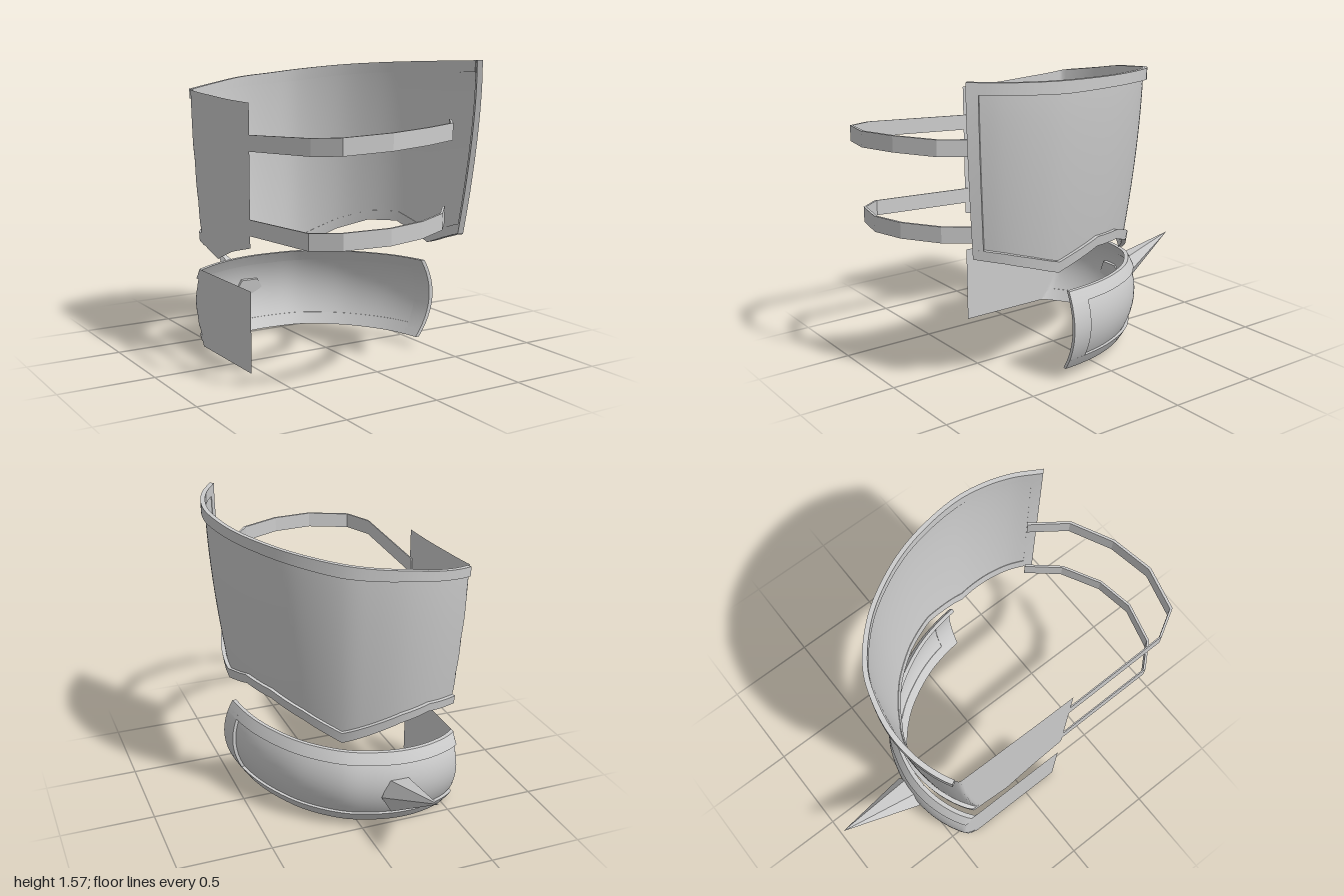
import * as THREE from 'three';
import { mergeGeometries } from 'three/addons/utils/BufferGeometryUtils.js';

const steel = new THREE.MeshStandardMaterial({ color: 0xcccccc, side: THREE.DoubleSide });
steel.name = 'steel grey';

const CX = -0.18, CZ = 0.2, WALL = -0.56; // centre of the curve, flat inner wall
const lerp = THREE.MathUtils.lerp, clamp = THREE.MathUtils.clamp;

// Outline of the guard from the flat wall round to the front edge: x, z, top y, bottom y
const outline = [
  [-0.88, 0.2, 1.37, 0.65], [-0.87, -0.03, 1.375, 0.6], [-0.79, -0.24, 1.385, 0.53],
  [-0.67, -0.42, 1.395, 0.575], [-0.55, -0.52, 1.405, 0.61], [-0.38, -0.59, 1.43, 0.635],
  [-0.2, -0.61, 1.46, 0.605], [-0.02, -0.58, 1.48, 0.545], [0.13, -0.52, 1.5, 0.495],
  [0.31, -0.36, 1.525, 0.6], [0.43, -0.17, 1.54, 0.665], [0.51, 0.04, 1.55, 0.68],
  [0.55, 0.33, 1.56, 0.6], [0.53, 0.5, 1.565, 0.65], [0.48, 0.65, 1.57, 0.69],
  [0.4, 0.79, 1.575, 0.72],
];
const LAST = outline.length - 1;
const curve = new THREE.CatmullRomCurve3(outline.map(([x, z, top]) => new THREE.Vector3(x, top, z)));

// Bottom edge, interpolated straight so the points stay sharp
function bottomAt(u) {
  const i = Math.min(Math.floor(u), LAST - 1);
  return lerp(outline[i][3], outline[i + 1][3], u - i);
}

// Scale a plan point about the centre and flatten it against the inner wall
function place(x, y, z, s) {
  return [Math.max(WALL, CX + (x - CX) * s), y, CZ + (z - CZ) * s];
}

// Upper guard surface: u along the outline, v up, o outward
function upper(u, v, o) {
  const p = curve.getPoint(u / LAST);
  const y = lerp(bottomAt(u), p.y, v);
  const t = Math.max(0, (1.5 - y) / 0.95);
  return place(p.x, y, p.z, 0.975 - 0.13 * Math.pow(t, 1.6) + o);
}

// Lower guard surface, bulging in the middle
function lower(u, v, o) {
  const p = curve.getPoint(u / LAST);
  const rise = 0.06 * clamp((u - 4) / 8, 0, 1);
  const s = 0.83 + 0.416 * v - 0.376 * v * v;
  return place(p.x, lerp(0.005, 0.43, v) + rise, p.z, s + o);
}

// Grid surface from a function of a and b, both 0 to 1
function sheet(f, na, nb) {
  const pos = [], idx = [];
  for (let i = 0; i <= na; i++)
    for (let j = 0; j <= nb; j++) pos.push(...f(i / na, j / nb));
  for (let i = 0; i < na; i++)
    for (let j = 0; j < nb; j++) {
      const a = i * (nb + 1) + j, b = a + nb + 1;
      idx.push(a, a + 1, b, b, a + 1, b + 1);
    }
  const g = new THREE.BufferGeometry();
  g.setAttribute('position', new THREE.Float32BufferAttribute(pos, 3));
  g.setIndex(idx);
  g.computeVertexNormals();
  return g;
}

// Raised band lying on a surface, with sharp edges
function slab(f, u0, u1, v0, v1, o0, o1, nu, nv) {
  const U = a => lerp(u0, u1, a), V = b => lerp(v0, v1, b), O = b => lerp(o0, o1, b);
  return mergeGeometries([
    sheet((a, b) => f(U(a), V(b), o1), nu, nv),
    sheet((a, b) => f(U(1 - a), V(b), o0), nu, nv),
    sheet((a, b) => f(U(a), v1, O(1 - b)), nu, 1),
    sheet((a, b) => f(U(a), v0, O(b)), nu, 1),
    sheet((a, b) => f(u0, V(a), O(1 - b)), nv, 1),
    sheet((a, b) => f(u1, V(a), O(b)), nv, 1),
  ]);
}

function add(group, name, geometry) {
  const m = new THREE.Mesh(geometry, steel);
  m.name = name;
  group.add(m);
}

export function createModel() {
  const model = new THREE.Group();
  model.name = 'armGuard';

  // Upper guard with rim on top, front and bottom edges
  const top = new THREE.Group();
  top.name = 'upperGuard';
  add(top, 'upperPlate', sheet((a, b) => upper(a * LAST, b, 0), 120, 16));
  add(top, 'upperTopRim', slab(upper, 4, LAST, 0.935, 1, -0.004, 0.028, 66, 1));
  add(top, 'upperBottomRim', slab(upper, 3, LAST, 0, 0.06, -0.004, 0.028, 48, 1));
  add(top, 'upperFrontRim', slab(upper, LAST - 0.35, LAST, 0, 1, -0.004, 0.028, 2, 16));

  // Lower guard with the same kind of rim
  const low = new THREE.Group();
  low.name = 'lowerGuard';
  const END = 11.75;
  add(low, 'lowerPlate', sheet((a, b) => lower(a * END, b, 0), 94, 12));
  add(low, 'lowerTopRim', slab(lower, 3.2, END, 0.86, 1, -0.004, 0.025, 50, 2));
  add(low, 'lowerBottomRim', slab(lower, 3.2, END, 0, 0.14, -0.004, 0.025, 50, 2));
  add(low, 'lowerFrontRim', slab(lower, END - 0.4, END, 0, 1, -0.004, 0.025, 2, 12));

  // Six-sided spike, sheared so that its tip rises behind the lower guard
  let spike = new THREE.ConeGeometry(0.1, 0.44, 6, 1, false, Math.PI / 2);
  spike.rotateX(-Math.PI / 2).translate(-0.18, 0.21, -0.78);
  const p = spike.attributes.position;
  for (let i = 0; i < p.count; i++) {
    const t = (-0.56 - p.getZ(i)) / 0.44;
    const tilt = (1 - t) * (p.getY(i) - 0.21) * 0.17;
    p.setXYZ(i, p.getX(i), p.getY(i) + 0.2 * t, p.getZ(i) + tilt);
  }
  spike = spike.toNonIndexed();
  spike.computeVertexNormals();
  add(low, 'spike', spike);

  // Two faceted straps: plan points and lower edge heights
  const straps = [
    ['upperStrap', [[-0.56, 0.17, 1.13], [-0.56, 0.79, 1.165], [-0.48, 0.93, 1.175],
      [-0.25, 0.985, 1.19], [-0.02, 0.94, 1.2], [0.2, 0.83, 1.203], [0.33, 0.65, 1.203]]],
    ['lowerStrap', [[-0.56, 0.17, 0.71], [-0.56, 0.77, 0.735], [-0.45, 0.89, 0.745],
      [-0.23, 0.945, 0.755], [-0.03, 0.91, 0.763], [0.17, 0.8, 0.768], [0.305, 0.64, 0.77]]],
  ];
  for (const [name, pts] of straps) {
    const f = (u, v, o) => {
      const [x, z, y] = pts[Math.round(u)];
      return place(x, y + 0.082 * v, z, 1 + o);
    };
    const g = slab(f, 0, pts.length - 1, 0, 1, -0.018, 0, pts.length - 1, 1).toNonIndexed();
    g.computeVertexNormals();
    add(model, name, g);
  }

  model.add(top, low);
  return model;
}
